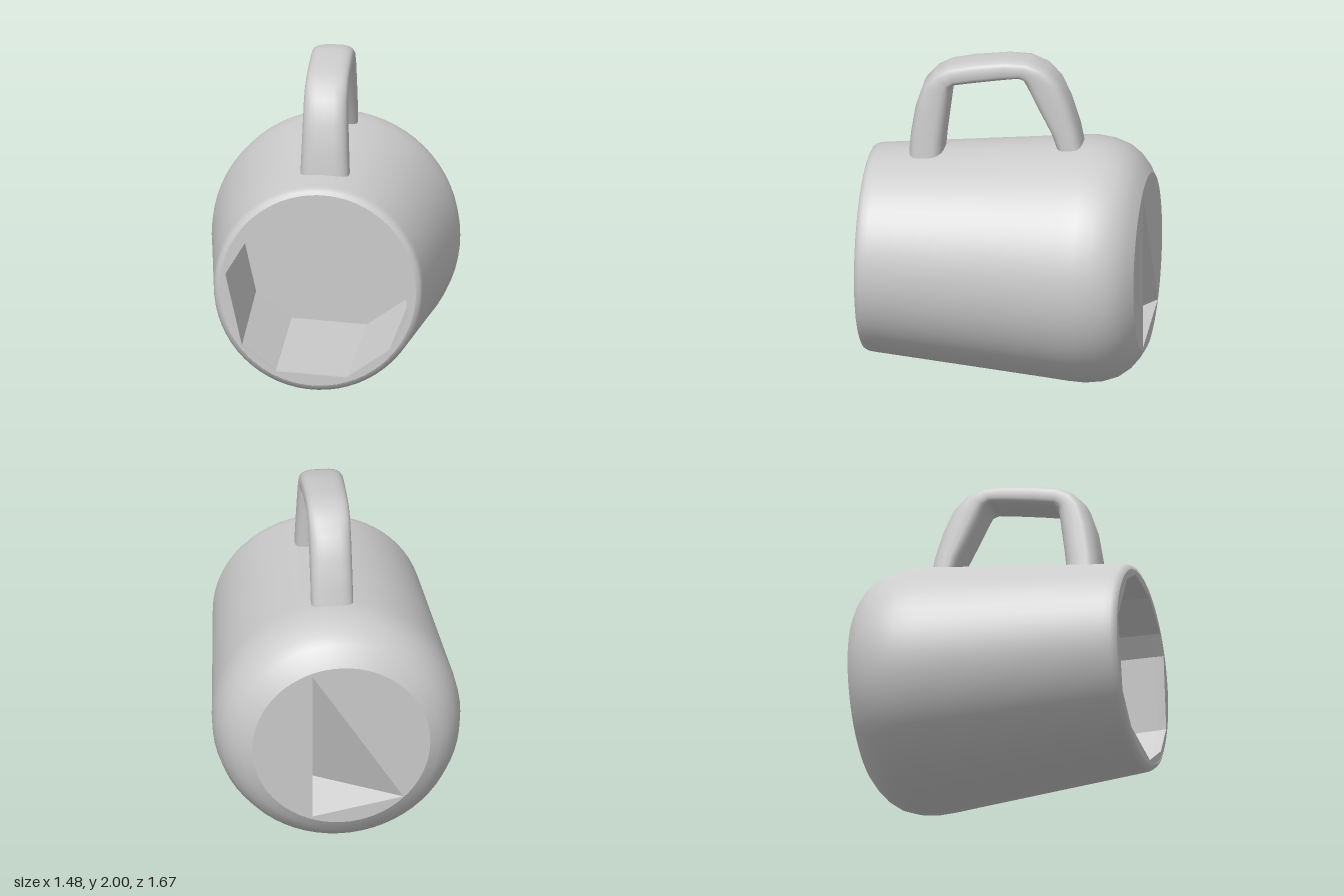
import * as THREE from 'three';

const CY = 0.742; // height of the mug's axis

// Skin a list of equal-length closed rings of [x, y, z]
function loft(rings) {
  const n = rings[0].length, index = [];
  for (let k = 0; k < rings.length - 1; k++) {
    for (let j = 0; j < n; j++) {
      const a = k * n + j, b = k * n + (j + 1) % n;
      index.push(a, b, a + n, b, b + n, a + n);
    }
  }
  const g = new THREE.BufferGeometry();
  g.setAttribute('position', new THREE.Float32BufferAttribute(rings.flat(2), 3));
  g.setIndex(index);
  g.computeVertexNormals();
  return g;
}

const disc = (r, cy) => new THREE.Shape().absarc(0, cy, r, 0, Math.PI * 2);
const toPath = pts => new THREE.Path(pts.map(p => new THREE.Vector2(p[0], p[1])));

export function createModel() {
  const group = new THREE.Group();
  const smooth = new THREE.MeshStandardMaterial({ color: 0xcccccc });
  const faceted = new THREE.MeshStandardMaterial({ color: 0xcccccc, flatShading: true, side: THREE.DoubleSide });
  const add = (name, geometry, material) => {
    const m = new THREE.Mesh(geometry, material);
    m.name = name;
    group.add(m);
    return m;
  };

  // Tapered outer wall with a rounded base shoulder, lying along z
  const profile = [
    [0.53, -0.835], [0.59, -0.8], [0.645, -0.755], [0.693, -0.69], [0.725, -0.6], [0.738, -0.5], [0.733, -0.4],
    [0.72, -0.27], [0.67, 0.27], [0.625, 0.76], [0.62, 0.8], [0.607, 0.825], [0.585, 0.835],
  ].map(p => new THREE.Vector2(p[0], p[1]));
  add('outerWall', new THREE.LatheGeometry(profile, 64).rotateX(Math.PI / 2).translate(0, CY, 0), smooth);

  // Irregular many-sided mouth, counter-clockwise from the front
  const mouth = [
    [-0.45, 0.39], [-0.25, 0.24], [0.17, 0.21], [0.42, 0.38], [0.54, 0.58], [0.48, 1.03],
    [0.4, 1.14], [0.17, 1.27], [-0.15, 1.28], [-0.35, 1.16], [-0.55, 0.83],
  ];
  const ringAt = (z, s) => mouth.map(([x, y]) => [x * s, CY + (y - CY) * s, z]);

  // Rim between the round lip and the mouth
  const rim = disc(0.585, CY);
  rim.holes.push(toPath(mouth));
  add('rim', new THREE.ShapeGeometry(rim, 32).translate(0, 0, 0.833), faceted);

  // Cavity walls and floor
  add('cavityWall', loft([ringAt(0.833, 1), ringAt(0.78, 1.01), ringAt(-0.5, 1.06)]), faceted);
  const floor = new THREE.Shape(ringAt(0, 1.06).map(p => new THREE.Vector2(p[0], p[1])));
  add('cavityFloor', new THREE.ShapeGeometry(floor).translate(0, 0, -0.5), faceted);

  // Base with a three-cornered dent
  const A = [0.17, 1.22], B = [0.17, 0.26], C = [-0.37, 0.37], zBack = -0.835;
  const base = disc(0.53, CY);
  base.holes.push(toPath([A, B, C]));
  add('base', new THREE.ShapeGeometry(base, 32).translate(0, 0, zBack), faceted);
  const deep = [0.17, 0.38, -0.55];
  const corners = [A, B, C].map(p => [...p, zBack]);
  const dent = new THREE.BufferGeometry();
  dent.setAttribute('position', new THREE.Float32BufferAttribute(
    corners.flatMap((p, i) => [...p, ...corners[(i + 1) % 3], ...deep]), 3));
  dent.computeVertexNormals();
  add('baseDent', dent, faceted);

  // Handle stations: outer z, y then inner z, y, half width
  const stations = [
    [0.59, 1.34, 0.385, 1.34, 0.148], [0.578, 1.5, 0.37, 1.5, 0.142], [0.55, 1.67, 0.35, 1.65, 0.136],
    [0.5, 1.82, 0.335, 1.77, 0.132], [0.43, 1.9, 0.33, 1.8, 0.13], [0.34, 1.945, 0.31, 1.815, 0.128],
    [0.2, 1.975, 0.2, 1.835, 0.127], [0, 2, 0.02, 1.865, 0.126], [-0.13, 1.995, -0.07, 1.88, 0.126],
    [-0.24, 1.95, -0.1, 1.87, 0.126], [-0.32, 1.87, -0.13, 1.81, 0.126],
    [-0.38, 1.74, -0.19, 1.69, 0.126], [-0.43, 1.58, -0.265, 1.55, 0.126], [-0.465, 1.4, -0.32, 1.4, 0.126],
  ];
  const N = 24, soften = v => Math.sign(v) * Math.abs(v) ** 0.65;
  const rings = stations.map(([oz, oy, iz, iy, w]) => Array.from({ length: N }, (_, j) => {
    const a = j / N * Math.PI * 2, t = 0.5 - 0.5 * soften(Math.cos(a));
    return [0.015 + w * soften(Math.sin(a)), oy + (iy - oy) * t, oz + (iz - oz) * t];
  }));
  add('handle', loft(rings), smooth);

  return group;
}
